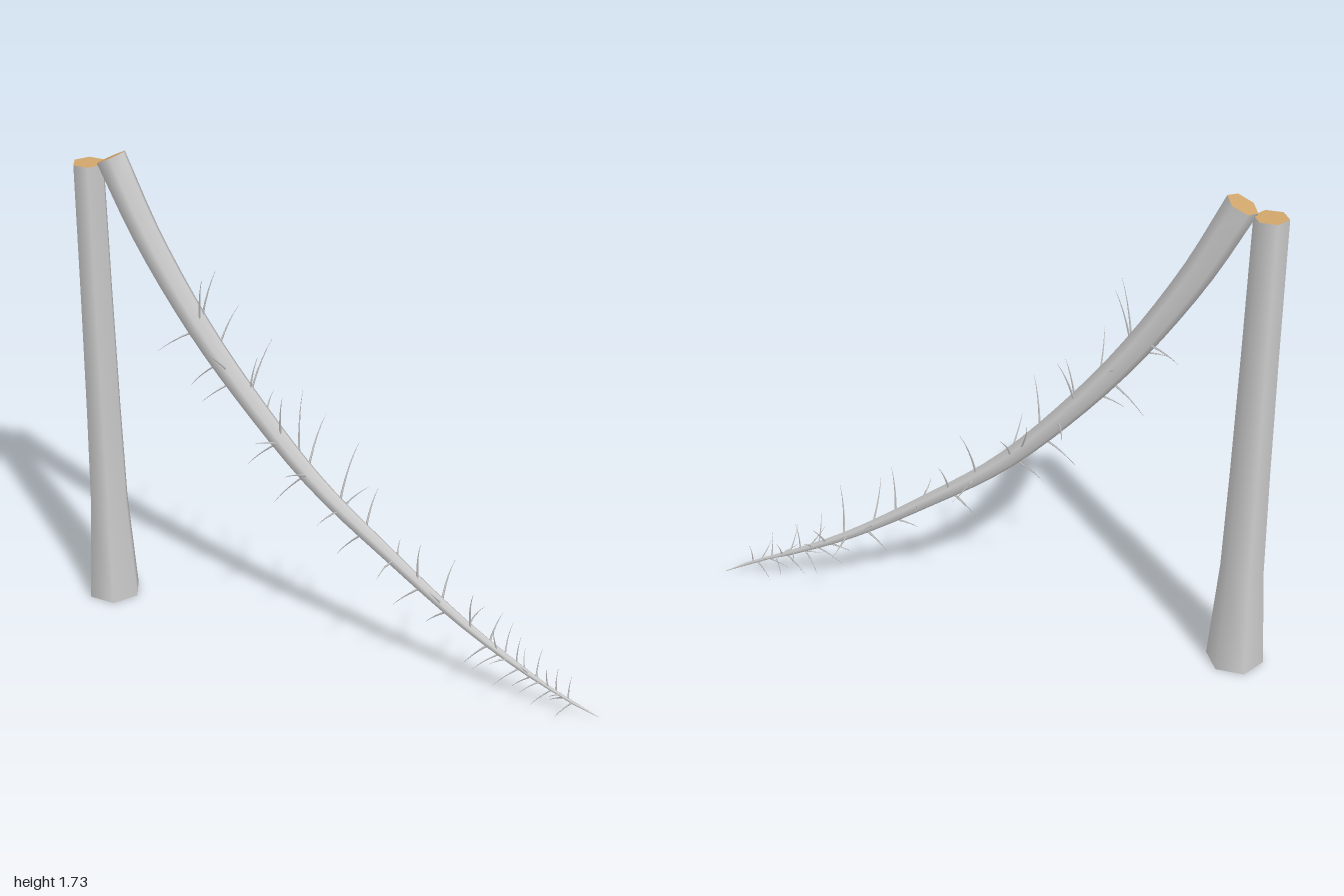
import * as THREE from 'three';

const V = (x, y, z) => new THREE.Vector3(x, y, z);

// Smooth tapered tube: one ring of `sides` corners per point
function loft(points, radii, sides) {
  const pos = [], index = [];
  points.forEach((p, i) => {
    const t = points[Math.min(i + 1, points.length - 1)].clone()
      .sub(points[Math.max(i - 1, 0)]).normalize();
    const n = V(0, 0, 1).cross(t).normalize();
    const b = t.clone().cross(n);
    for (let j = 0; j < sides; j++) {
      const a = (j / sides) * Math.PI * 2;
      const q = p.clone().addScaledVector(n, Math.cos(a) * radii[i])
        .addScaledVector(b, Math.sin(a) * radii[i]);
      pos.push(q.x, q.y, q.z);
      if (i < points.length - 1) {
        const k = (j + 1) % sides, r0 = i * sides, r1 = r0 + sides;
        index.push(r0 + j, r0 + k, r1 + k, r0 + j, r1 + k, r1 + j);
      }
    }
  });
  const geo = new THREE.BufferGeometry();
  geo.setAttribute('position', new THREE.Float32BufferAttribute(pos, 3));
  geo.setIndex(index);
  geo.computeVertexNormals();
  return geo;
}

// Centre line of the fallen trunk with its radius
const path = new THREE.CatmullRomCurve3([
  V(-0.81, 1.75, 0.018), V(-0.68, 1.49, 0.018), V(-0.49, 1.19, 0.012), V(-0.296, 0.945, 0.003),
  V(-0.056, 0.694, -0.003), V(0.232, 0.476, -0.008), V(0.505, 0.29, -0.01),
  V(0.73, 0.168, -0.012), V(0.88, 0.1, -0.018), V(0.995, 0.045, -0.04),
]);
const radiusAt = (u) => 0.054 * (1 - u) ** 0.8 + 0.007 * Math.min(1, (1 - u) * 12);

// Curve parameter at a given x
function paramAtX(x) {
  let lo = 0, hi = 1;
  for (let i = 0; i < 25; i++) {
    const m = (lo + hi) / 2;
    if (path.getPointAt(m).x < x) lo = m; else hi = m;
  }
  return lo;
}

// Large twigs: x on the trunk, then tip x, y, z
const TWIGS = [
  [-0.52, -0.67, 1.24, -0.12], [-0.49, -0.595, 1.13, 0.12], [-0.49, -0.43, 1.41, 0.09],
  [-0.49, -0.43, 1.41, 0], [-0.43, -0.45, 1.21, -0.18], [-0.38, -0.36, 1.18, 0.17],
  [-0.41, -0.54, 0.965, 0], [-0.36, -0.46, 0.945, 0.07], [-0.25, -0.31, 0.92, -0.17],
  [-0.31, -0.265, 1.16, -0.08], [-0.31, -0.27, 1.13, 0.01], [-0.18, -0.22, 0.87, 0.13],
  [-0.19, -0.15, 1.025, 0.06], [-0.12, -0.19, 0.95, -0.16], [-0.09, -0.1, 0.88, -0.16],
  [-0.19, -0.31, 0.72, 0.02], [-0.09, -0.195, 0.61, 0.05], [-0.08, -0.08, 0.8, 0.175],
  [0.03, 0.06, 0.84, -0.1], [0.04, 0.06, 0.625, -0.18], [0.04, 0.01, 0.61, 0.12],
  [0.13, 0.14, 0.69, -0.09], [0.13, 0.025, 0.44, 0], [0.24, 0.25, 0.48, 0.15],
  [0.25, 0.22, 0.5, -0.1], [0.33, 0.355, 0.58, 0.03], [0.35, 0.265, 0.33, 0.05],
  [0.42, 0.4, 0.43, -0.165], [0.42, 0.43, 0.465, 0.12], [0.45, 0.36, 0.25, -0.02],
  [0.52, 0.52, 0.28, -0.155], [0.53, 0.56, 0.455, 0.05], [0.6, 0.53, 0.17, 0.05],
  [0.6, 0.62, 0.33, -0.08],
];

export function createModel() {
  const model = new THREE.Group();
  const bark = new THREE.MeshStandardMaterial({ color: 0xcccccc });
  const wood = new THREE.MeshStandardMaterial({ color: 0xd0a56a });
  const twigMat = new THREE.MeshStandardMaterial({ color: 0xcccccc, side: THREE.DoubleSide });
  const add = (name, geo, mat, parent = model) => {
    const mesh = new THREE.Mesh(geo, mat);
    mesh.name = name;
    parent.add(mesh);
    return mesh;
  };

  // Standing stump, flared at the foot
  const stump = new THREE.Group();
  stump.name = 'stump';
  stump.position.set(-0.9, 0, 0.02);
  model.add(stump);
  const profile = [[0.1, 0.04], [0.074, 0.42], [0.066, 0.8], [0.06, 1.25], [0.056, 1.718]]
    .map(([r, y]) => new THREE.Vector2(r, y));
  add('stumpBark', new THREE.LatheGeometry(profile, 6, Math.PI / 2), bark, stump);
  add('stumpBase', new THREE.CircleGeometry(0.1, 6).rotateX(Math.PI / 2).translate(0, 0.04, 0), bark, stump);
  add('stumpBreak', new THREE.CircleGeometry(0.056, 6).rotateX(-Math.PI / 2).translate(0, 1.718, 0), wood, stump);

  // Fallen trunk, tapering to the crown
  const steps = 28, points = [], radii = [];
  for (let i = 0; i <= steps; i++) {
    points.push(path.getPointAt(i / steps));
    radii.push(i === steps ? 0.001 : Math.max(0.006, radiusAt(i / steps) - 0.006));
  }
  add('fallenTrunk', loft(points, radii, 6), bark);
  const end = add('trunkBreak', new THREE.CircleGeometry(radii[0], 6, Math.PI / 2), wood);
  end.position.copy(points[0]);
  end.lookAt(points[0].clone().multiplyScalar(2).sub(points[1]));

  // Thin curved twigs, swept back and bending outwards
  const twigs = new THREE.Group();
  twigs.name = 'twigs';
  model.add(twigs);
  const addTwig = (u, tip, r) => {
    const base = path.getPointAt(u);
    const mid = base.clone().lerp(tip, 0.55)
      .addScaledVector(path.getTangentAt(u), -0.08 * base.distanceTo(tip));
    const line = new THREE.QuadraticBezierCurve3(base, mid, tip).getPoints(5);
    add('twig', loft(line, line.map((_, i) => r * (1 - i / 5.5)), 3), twigMat, twigs);
  };
  for (const [x, ...tip] of TWIGS) addTwig(paramAtX(x), V(...tip), 0.0052);

  // Small twigs spiralling round the crown
  for (let i = 0; i < 20; i++) {
    const u = paramAtX(0.63 + i * 0.0145);
    const t = path.getTangentAt(u);
    const n = V(0, 0, 1).cross(t).normalize();
    const b = t.clone().cross(n);
    const a = i * 2.4 + 0.5, len = 0.125 - i * 0.0022;
    const dir = n.multiplyScalar(Math.cos(a)).addScaledVector(b, Math.sin(a))
      .addScaledVector(t, -0.4).normalize();
    addTwig(u, path.getPointAt(u).addScaledVector(dir, len), 0.0036);
  }
  return model;
}
